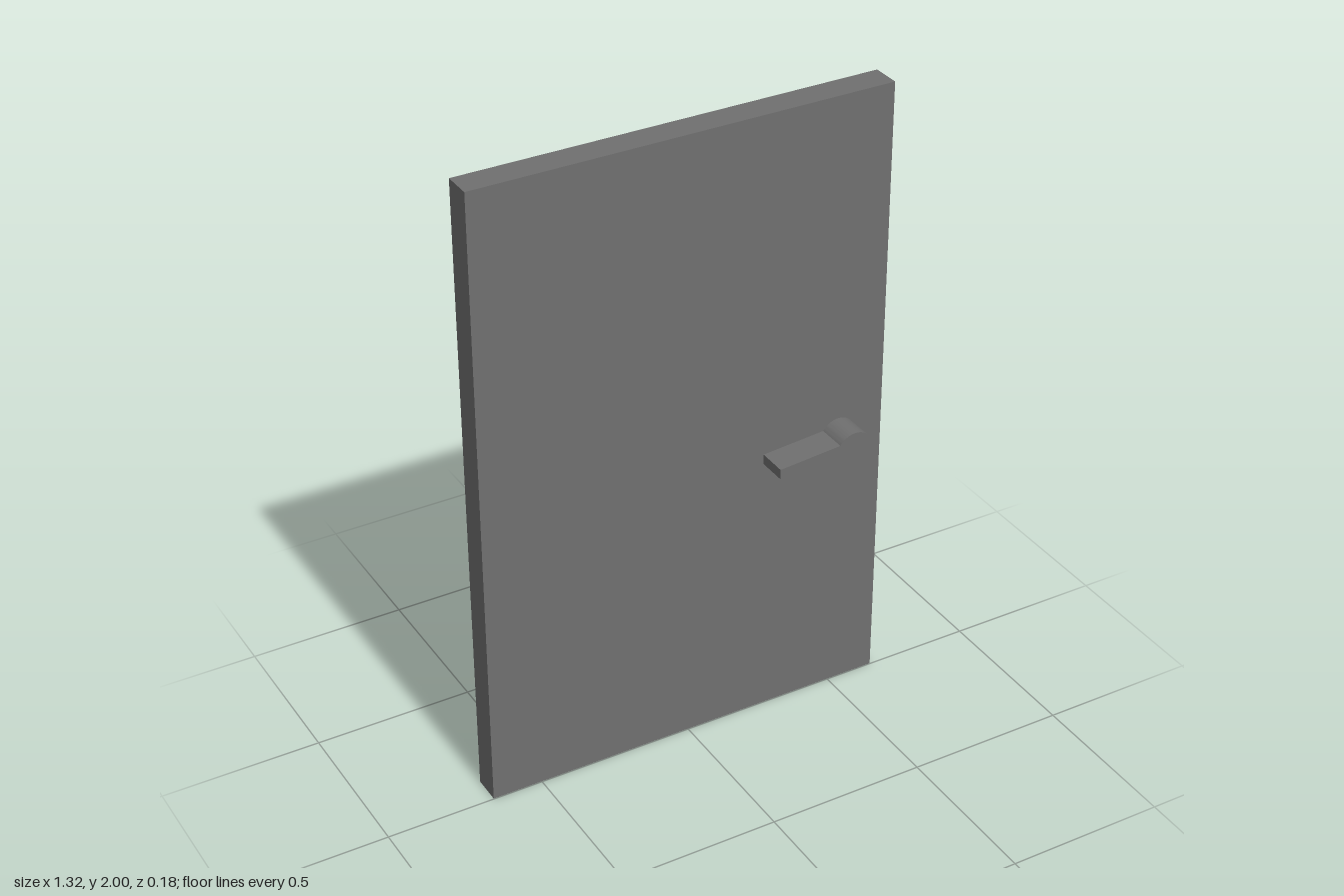
import * as THREE from 'three';
import { toCreasedNormals } from 'three/addons/utils/BufferGeometryUtils.js';

const material = new THREE.MeshStandardMaterial({ color: 0x707070 });

function addPart(group, name, geometry, x, y, z) {
  const mesh = new THREE.Mesh(geometry, material);
  mesh.name = name;
  mesh.position.set(x, y, z);
  group.add(mesh);
}

export function createModel() {
  const group = new THREE.Group();
  group.name = 'door';

  const back = -0.092, face = -0.002, front = 0.092;

  // Plain slab, standing on the ground
  const thickness = face - back;
  addPart(group, 'doorPanel', new THREE.BoxGeometry(1.318, 2, thickness), 0, 1, (back + face) / 2);

  // Lever handle: round hub running into a tapered lever, origin at the hub centre
  const radius = 0.061, tipX = -0.255, tipHalf = 0.016;
  const neck = Math.PI - Math.asin(0.033 / radius); // angle where the lever meets the hub
  const outline = new THREE.Shape();
  outline.moveTo(tipX, tipHalf);
  outline.lineTo(tipX, -tipHalf);
  outline.lineTo(radius * Math.cos(neck), -radius * Math.sin(neck));
  outline.absarc(0, 0, radius, -neck, neck, false);
  outline.closePath();

  const handle = new THREE.ExtrudeGeometry(outline, {
    depth: front - face, bevelEnabled: false, curveSegments: 32,
  });
  addPart(group, 'leverHandle', toCreasedNormals(handle, 0.4), 0.509, 0.893, face);

  return group;
}
